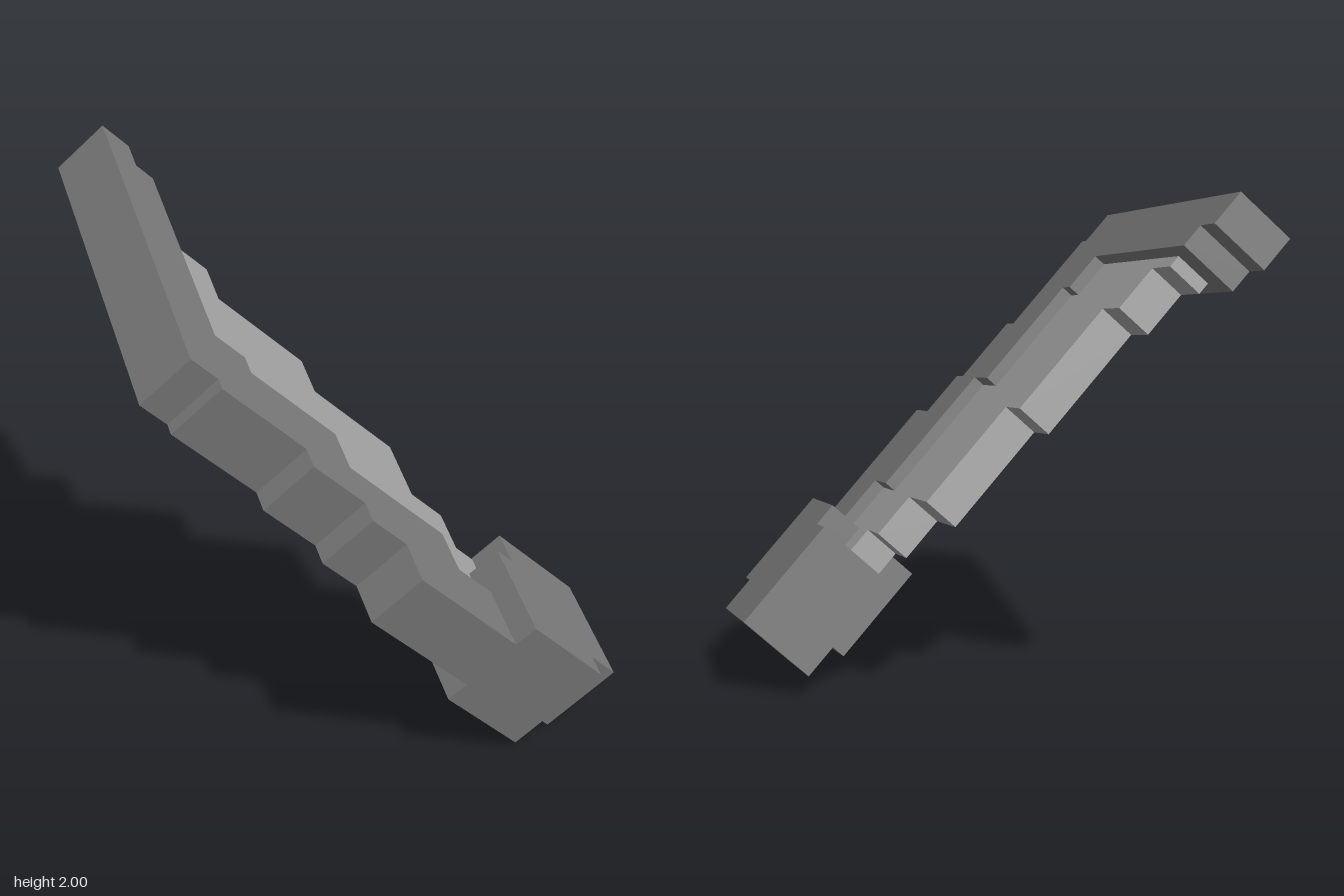
import * as THREE from 'three';

export function createModel() {
  const frameGrey = new THREE.MeshStandardMaterial({ color: 0x7a7a7a });
  frameGrey.name = 'frame grey';
  const webGrey = new THREE.MeshStandardMaterial({ color: 0xa4a4a4 });
  webGrey.name = 'web grey';

  const wing = new THREE.Group();
  wing.name = 'wing';

  // Each part is a stepped plate: outline across and along the wing, depth through it
  function plate(name, outline, bottom, top, material) {
    const shape = new THREE.Shape(outline.map(([a, b]) => new THREE.Vector2(a, b)));
    const geometry = new THREE.ExtrudeGeometry(shape, { depth: top - bottom, bevelEnabled: false });
    geometry.translate(0, 0, bottom);
    const mesh = new THREE.Mesh(geometry, material);
    mesh.name = name;
    wing.add(mesh);
  }

  // Staircase between the frame and the web, from the tip bar to the root
  const innerSteps = [
    [-0.014, -1.508], [-0.014, -1.352], [0.074, -1.352], [0.074, -0.893],
    [0.26, -0.893], [0.26, -0.353], [0.452, -0.353], [0.452, -0.156],
  ];

  // Frame: long tip bar and the stepped leading edge
  plate('frame', [
    [0.728, -0.156], [0.728, -0.708], [0.545, -0.708], [0.545, -0.895],
    [0.452, -0.895], [0.452, -1.172], [0.358, -1.172], [0.358, -1.605],
    [0.306, -1.605], [0.306, -1.741], [-1.132, -1.741], [-1.132, -1.599],
    [-0.998, -1.599], [-0.998, -1.508], ...innerSteps,
  ], 0.59, 0.826, frameGrey);

  // Web: thinner stepped sheet recessed between the frame faces
  plate('web', [
    ...innerSteps, [0.313, -0.156], [0.313, -0.064], [0.174, -0.064],
    [0.174, -0.165], [-0.012, -0.165], [-0.012, -0.346], [-0.292, -0.346],
    [-0.292, -0.8], [-0.478, -0.8], [-0.478, -1.273], [-0.665, -1.273],
    [-0.665, -1.46], [-0.851, -1.46], [-0.851, -1.508],
  ], 0.637, 0.78, webGrey);

  // Root: thick notched block with a smaller pad underneath
  plate('rootBlock', [
    [0.168, -0.064], [0.313, -0.064], [0.313, -0.158], [0.728, -0.158],
    [0.728, 0.258], [0.635, 0.258], [0.635, 0.404], [0.168, 0.404],
  ], 0.592, 0.919, frameGrey);
  plate('rootPad', [
    [0.313, -0.158], [0.728, -0.158], [0.728, 0.258], [0.313, 0.258],
  ], 0.502, 0.592, frameGrey);

  // Tilt the flat wing: 15 degrees of sweep, then 45 degrees of slope
  const s = Math.sin(Math.PI / 12), c = Math.cos(Math.PI / 12), h = Math.SQRT1_2;
  wing.setRotationFromMatrix(new THREE.Matrix4().makeBasis(
    new THREE.Vector3(-s * h, -s * h, c),
    new THREE.Vector3(h, -h, 0),
    new THREE.Vector3(c * h, c * h, s),
  ));

  const model = new THREE.Group();
  model.name = 'steppedWing';
  model.add(wing);
  return model;
}
